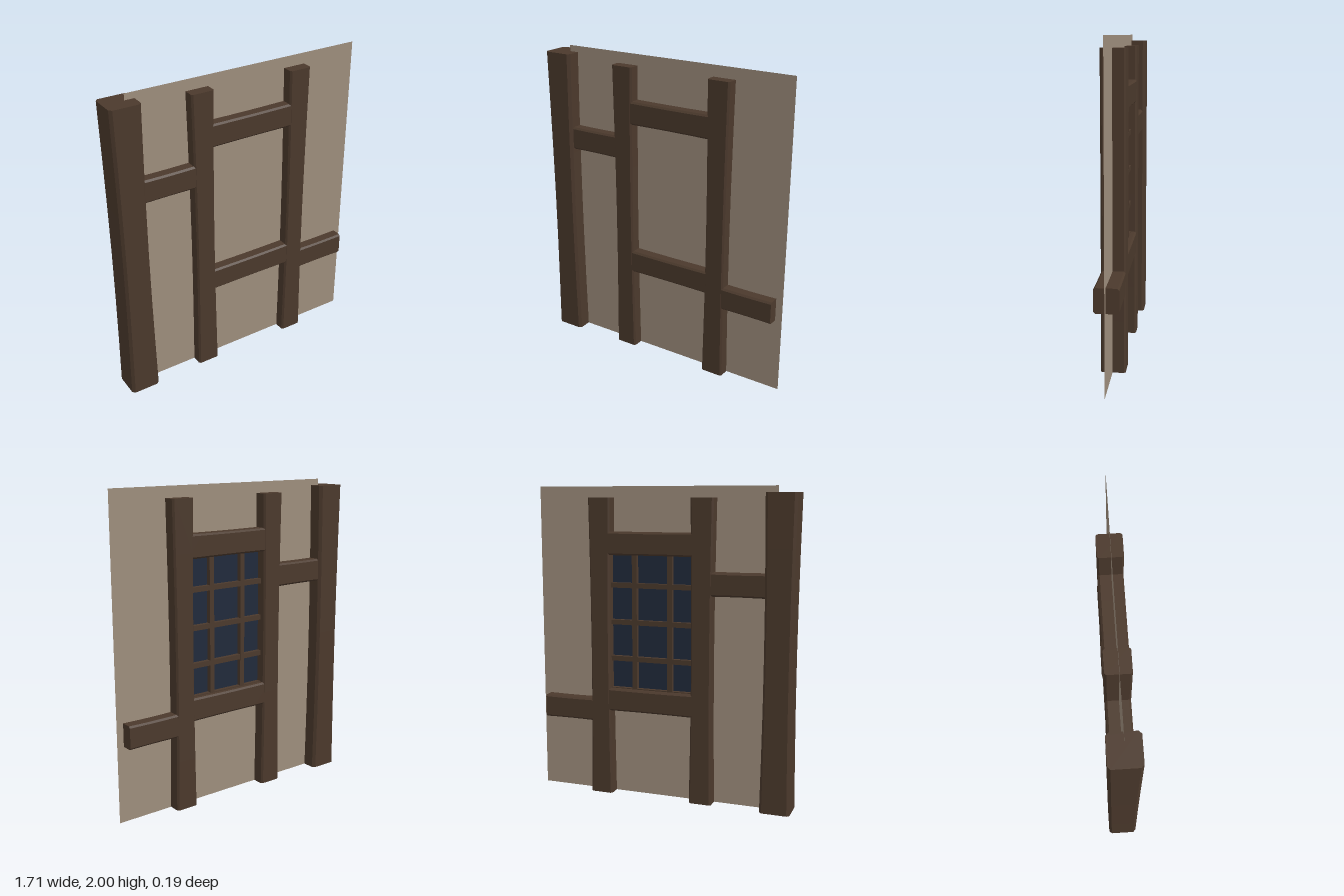
import * as THREE from 'three';

const wood = new THREE.MeshStandardMaterial({ color: 0x4b392c, flatShading: true });
const plaster = new THREE.MeshStandardMaterial({ color: 0x9e8e7d, side: THREE.DoubleSide });
const glass = new THREE.MeshStandardMaterial({ color: 0x202a3b, side: THREE.DoubleSide });

// Hewn timber along +y from y = 0: chamfered section, slightly narrower at mid length
function timberGeometry(width, depth, length, chamfer, waist) {
  const w = width / 2, d = depth / 2, c = chamfer;
  const section = new THREE.Shape([
    [-w + c, -d], [w - c, -d], [w, -d + c], [w, d - c],
    [w - c, d], [-w + c, d], [-w, d - c], [-w, -d + c],
  ].map(([x, y]) => new THREE.Vector2(x, y)));
  const geo = new THREE.ExtrudeGeometry(section, { depth: length, steps: 6, bevelEnabled: false });
  geo.rotateX(-Math.PI / 2);
  const p = geo.attributes.position;
  for (let i = 0; i < p.count; i++) {
    const s = 1 - waist * Math.sin(Math.PI * p.getY(i) / length);
    p.setX(i, p.getX(i) * s);
  }
  geo.computeVertexNormals();
  return geo;
}

export function createModel() {
  const group = new THREE.Group();
  const add = (name, geo, mat, x, y, z) => {
    const mesh = new THREE.Mesh(geo, mat);
    mesh.name = name;
    mesh.position.set(x, y, z);
    group.add(mesh);
    return mesh;
  };

  // Plaster infill
  add('plasterPanel', new THREE.PlaneGeometry(1.575, 2), plaster, 0.0675, 1, 0);

  // Upright posts
  add('cornerPost', timberGeometry(0.192, 0.187, 1.96, 0.017, 0.11), wood, -0.755, 0, -0.001);
  add('leftStud', timberGeometry(0.148, 0.15, 1.93, 0.011, 0.13), wood, -0.27, 0, -0.004);
  add('rightStud', timberGeometry(0.148, 0.15, 1.93, 0.011, 0.13), wood, 0.409, 0, -0.004);

  // Horizontal rails: name, start x, end x, centre y
  for (const [name, x0, x1, y] of [
    ['upperSideRail', -0.7, -0.3, 1.408],
    ['windowHead', -0.24, 0.38, 1.645],
    ['windowSill', -0.24, 0.38, 0.636],
    ['lowerSideRail', 0.44, 0.81, 0.558],
  ]) {
    const rail = add(name, timberGeometry(0.148, 0.147, x1 - x0, 0.011, 0.03), wood, x0, y, -0.004);
    rail.rotation.z = -Math.PI / 2;
  }

  // Leaded window on the inner side of the plaster
  const cell = 0.237, cx = 0.065, cy = 1.143, cols = 3, rows = 4;
  const w = cols * cell, h = rows * cell;
  const pane = add('windowGlass', new THREE.PlaneGeometry(w, h), glass, cx, cy, -0.012);
  pane.rotation.y = Math.PI;
  for (let i = 0; i <= cols; i++) {
    add('verticalGlazingBar', new THREE.BoxGeometry(0.032, h, 0.036), wood, cx - w / 2 + i * cell, cy, -0.024);
  }
  for (let j = 0; j <= rows; j++) {
    const edge = j === 0 || j === rows;
    add('horizontalGlazingBar', new THREE.BoxGeometry(w, edge ? 0.09 : 0.032, 0.034), wood, cx, cy - h / 2 + j * cell, -0.024);
  }
  return group;
}
